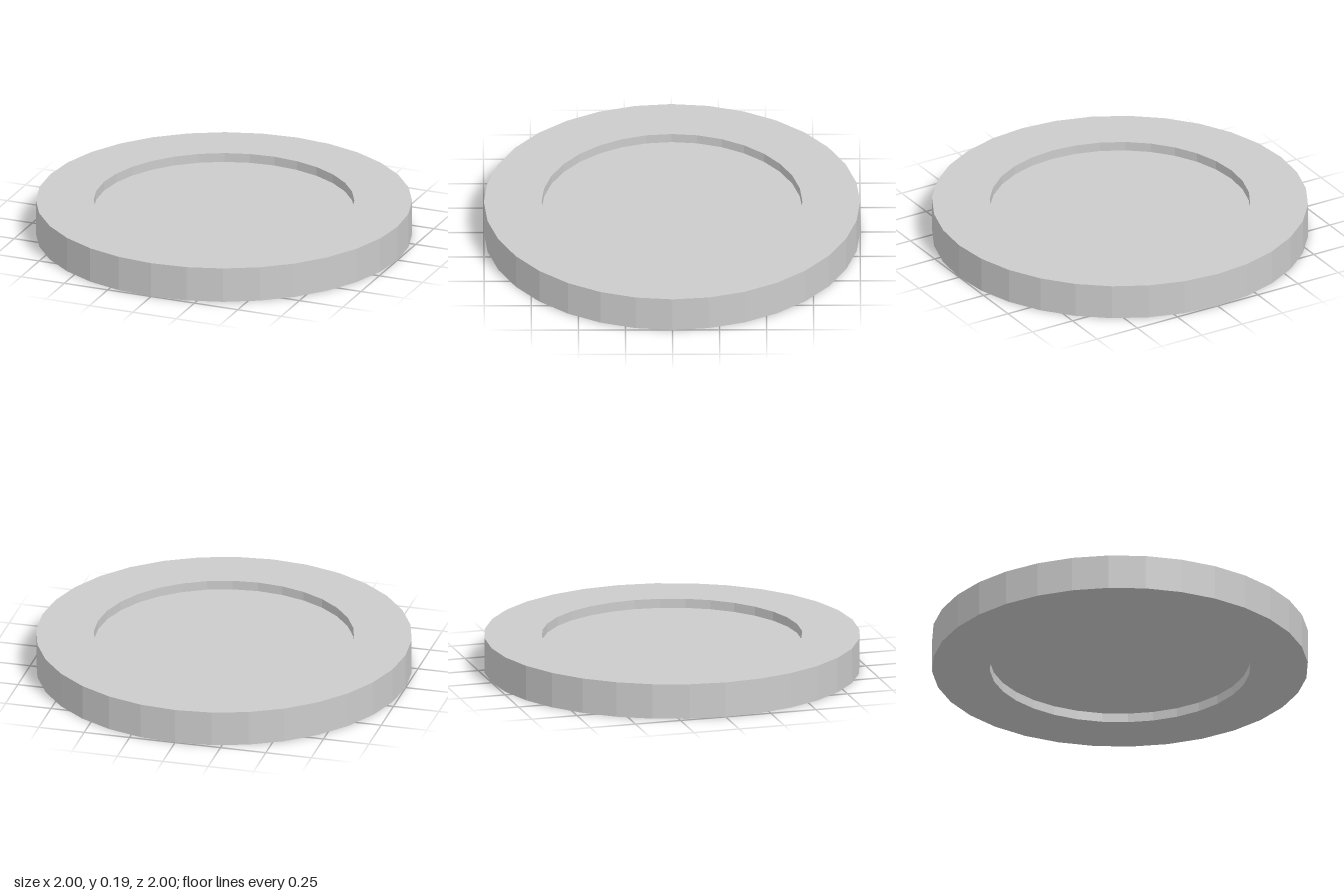
import * as THREE from 'three';

const SIDES = 32;
const HEIGHT = 0.19;
const INNER = 0.693;
const RECESS = 0.05;

export function createModel() {
  const group = new THREE.Group();
  const material = new THREE.MeshStandardMaterial({ color: 0xcccccc, flatShading: true });
  const add = (name, geometry, y = 0) => {
    const mesh = new THREE.Mesh(geometry, material);
    mesh.name = name;
    mesh.position.y = y;
    group.add(mesh);
  };

  // Raised rim: a rectangular section swept round the axis
  const section = [[INNER, 0], [1, 0], [1, HEIGHT], [INNER, HEIGHT], [INNER, 0]];
  add('rim', new THREE.LatheGeometry(section.map(([r, y]) => new THREE.Vector2(r, y)), SIDES));

  // Centre plate, recessed equally on both faces
  add('centrePlate', new THREE.CylinderGeometry(INNER, INNER, HEIGHT - 2 * RECESS, SIDES), HEIGHT / 2);

  return group;
}
